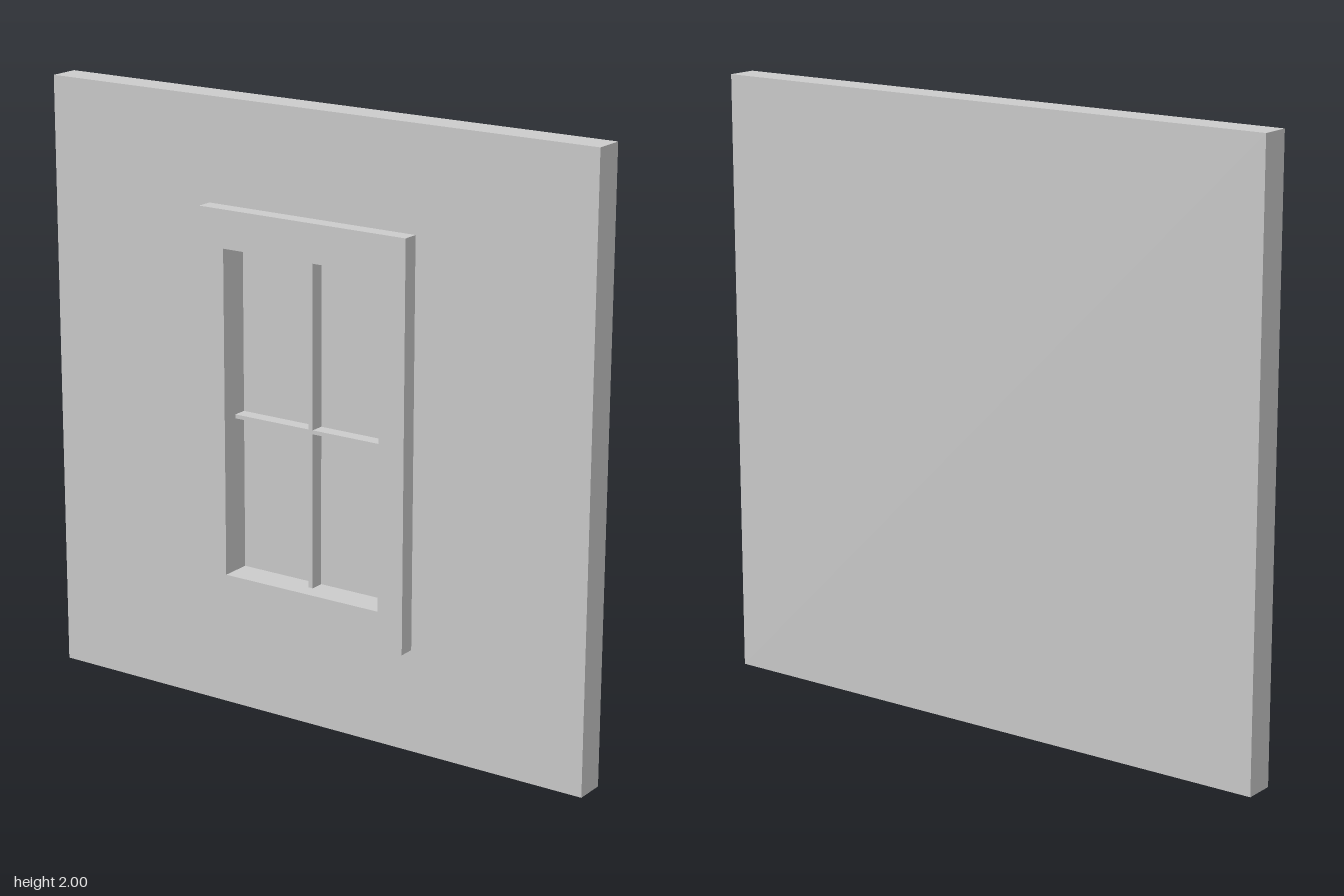
import * as THREE from 'three';

const material = new THREE.MeshStandardMaterial({ color: 0xcccccc, flatShading: true, side: THREE.DoubleSide });

// Depths, back to front
const WALL_BACK = -0.078, PANE = -0.025, WALL_FRONT = 0.024, FRAME_FRONT = 0.078;
// Window opening and frame outline
const OPENING = { w: 0.582, h: 1.074, y: 1.001 };
const FRAME = { w: 0.765, h: 1.323, y: 1.001 };

function rectPath(path, { w, h, y }) {
  return path
    .moveTo(-w / 2, y - h / 2)
    .lineTo(w / 2, y - h / 2)
    .lineTo(w / 2, y + h / 2)
    .lineTo(-w / 2, y + h / 2)
    .closePath() ?? path;
}

// Rectangle with the window opening cut out
function rectWithOpening(outer) {
  const shape = new THREE.Shape();
  rectPath(shape, outer);
  const hole = new THREE.Path();
  rectPath(hole, OPENING);
  shape.holes.push(hole);
  return shape;
}

// Box between two depths, leaving out sides (0 +x, 1 -x, 2 +y, 3 -y, 4 +z, 5 -z)
function slab({ w, h, x = 0, y }, z0, z1, open = []) {
  const geometry = new THREE.BoxGeometry(w, h, z1 - z0);
  geometry.translate(x, y, (z0 + z1) / 2);
  const index = Array.from(geometry.index.array).filter((_, i) => !open.includes(Math.floor(i / 6)));
  geometry.setIndex(index);
  geometry.clearGroups();
  return geometry;
}

export function createModel() {
  const group = new THREE.Group();
  const add = (name, geometry) => {
    const mesh = new THREE.Mesh(geometry, material);
    mesh.name = name;
    group.add(mesh);
    return mesh;
  };

  // Hollow wall, open underneath, with a pierced front
  const wall = { w: 2, h: 2, y: 1 };
  add('wallShell', slab(wall, WALL_BACK, WALL_FRONT, [3, 4]));
  add('wallFront', new THREE.ShapeGeometry(rectWithOpening(wall))).position.z = WALL_FRONT;

  // Raised window frame
  add('windowFrame', new THREE.ExtrudeGeometry(rectWithOpening(FRAME), {
    depth: FRAME_FRONT - WALL_FRONT, bevelEnabled: false,
  })).position.z = WALL_FRONT;

  // Recess in the wall, closed by the pane
  add('windowRecess', slab(OPENING, PANE, WALL_FRONT, [4]));

  // Glazing bars: one upright and two crossbar halves
  const barFront = WALL_FRONT - 0.002, barWidth = 0.016;
  add('uprightBar', slab({ w: barWidth, h: OPENING.h, y: OPENING.y }, PANE, barFront, [5]));
  const half = (OPENING.w - barWidth) / 2;
  for (const side of [-1, 1]) {
    add(side > 0 ? 'leftCrossbar' : 'rightCrossbar',
      slab({ w: half, h: 0.013, x: side * (barWidth + half) / 2, y: 0.981 }, PANE, barFront, [5]));
  }
  return group;
}
